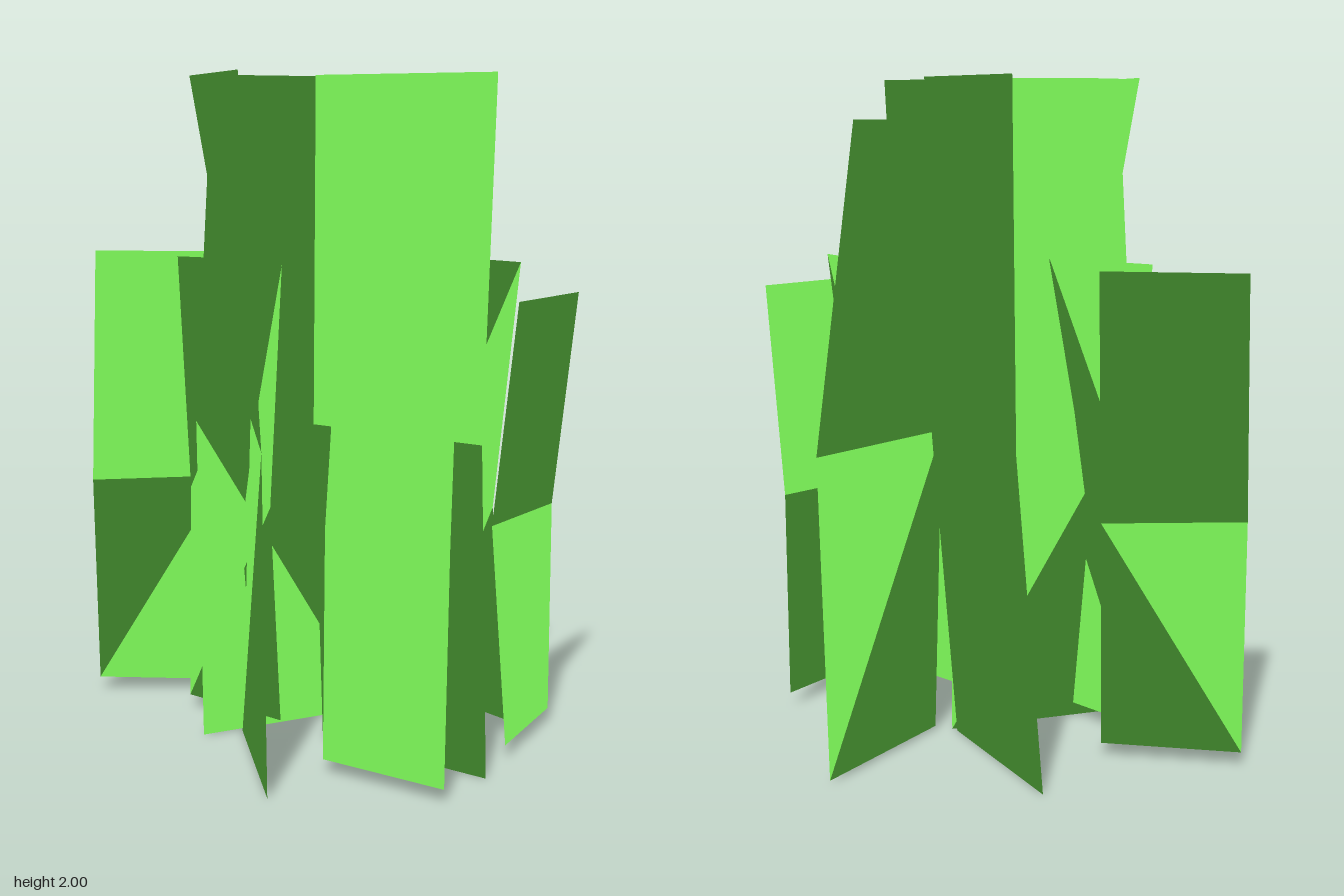
import * as THREE from 'three';

// Each blade: heights [bottom, bend, top], then one [x1, z1, x2, z2] edge per height.
const LOW = [0.04, 0.72, 1.455];
const TALL = [0, 0.98, 2];
const BLADES = [
  { name: 'backRightBlade', y: [0.01, 0.95, 1.88], rows: [[0.325, -0.69, 0.19, -0.16], [0.35, -0.69, 0.16, -0.17], [0.21, -0.73, 0.005, -0.22]] },
  { name: 'backLeftBlade', y: TALL, rows: [[-0.28, -0.59, 0.12, -0.155], [-0.22, -0.655, 0.18, -0.215], [-0.21, -0.66, 0.19, -0.22]] },
  { name: 'centreBlade', y: TALL, rows: [[0.14, -0.145, -0.33, 0.205], [0.15, -0.12, -0.343, 0.21], [0.2, -0.07, -0.27, 0.28]] },
  { name: 'frontLeftBlade', y: TALL, rows: [[-0.22, 0.15, -0.035, 0.705], [-0.19, 0.145, -0.045, 0.715], [-0.355, 0.2, -0.1, 0.73]] },
  { name: 'frontRightBlade', y: TALL, rows: [[0.035, 0.165, 0.555, 0.45], [0.015, 0.215, 0.535, 0.5], [0.02, 0.205, 0.56, 0.43]] },
  { name: 'farLeftBlade', y: LOW, rows: [[-0.775, -0.2, -0.36, -0.24], [-0.77, -0.14, -0.365, -0.28], [-0.78, -0.25, -0.36, -0.305]] },
  { name: 'innerLeftBlade', y: LOW, rows: [[-0.435, -0.06, -0.1, 0.15], [-0.43, -0.08, -0.12, 0.2], [-0.455, -0.04, -0.1, 0.1]] },
  { name: 'innerRightBlade', y: LOW, rows: [[0.29, -0.245, 0.605, 0.05], [0.31, -0.26, 0.54, 0.09], [0.28, -0.24, 0.61, 0.04]] },
  { name: 'frontShortBlade', y: LOW, rows: [[0.085, 0.475, 0.455, 0.665], [0.09, 0.47, 0.465, 0.67], [0.125, 0.41, 0.48, 0.63]] },
  { name: 'farRightBlade', y: [0.045, 0.7, 1.36], rows: [[0.6, 0.285, 0.71, -0.09], [0.55, 0.26, 0.71, -0.1], [0.62, 0.29, 0.78, -0.06]] },
];

// A thin sheet, bent and twisted by moving the three rows of a plane
function bladeGeometry({ y, rows }) {
  const geometry = new THREE.PlaneGeometry(1, 1, 1, 2);
  const position = geometry.attributes.position;
  const normal = geometry.attributes.normal;
  for (let i = 0; i < position.count; i++) {
    const row = 2 - Math.floor(i / 2); // the plane lists its top row first
    const side = (i % 2) * 2;
    position.setXYZ(i, rows[row][side], y[row], rows[row][side + 1]);
    normal.setXYZ(i, 0, 1, 0); // upward normals shade the foliage evenly
  }
  return geometry;
}

export function createModel() {
  const group = new THREE.Group();
  group.name = 'grassClump';
  const green = new THREE.MeshStandardMaterial({ color: 0x70e04f, side: THREE.DoubleSide });

  for (const blade of BLADES) {
    const mesh = new THREE.Mesh(bladeGeometry(blade), green);
    mesh.name = blade.name;
    group.add(mesh);
  }
  return group;
}
